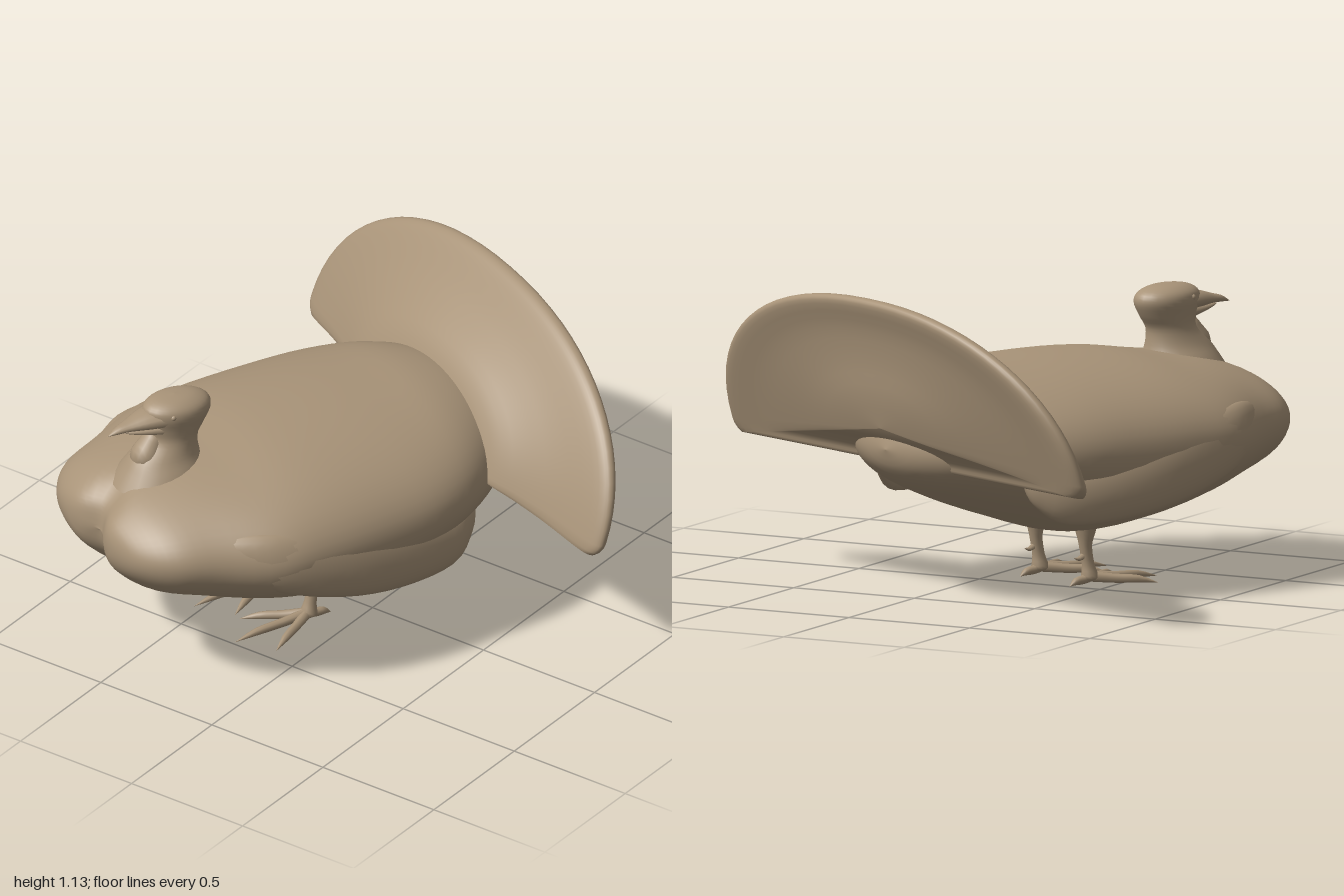
import * as THREE from 'three';

const material = new THREE.MeshStandardMaterial({ color: 0xa89378 });

// Skin over a list of closed rings, each running counter-clockwise about the direction of travel
function loft(rings) {
  const n = rings[0].length, index = [];
  for (let i = 0; i < rings.length - 1; i++) {
    for (let j = 0; j < n; j++) {
      const a = i * n + j, b = i * n + (j + 1) % n;
      index.push(a, b, a + n, b, b + n, a + n);
    }
  }
  const geometry = new THREE.BufferGeometry();
  geometry.setAttribute('position', new THREE.Float32BufferAttribute(rings.flat(2), 3));
  geometry.setIndex(index);
  geometry.computeVertexNormals();
  return geometry;
}

// Catmull-Rom smoothing of rows of section values
function smooth(rows, steps) {
  const out = [], last = rows.length - 1;
  for (let i = 0; i < last; i++) {
    const p = [rows[Math.max(i - 1, 0)], rows[i], rows[i + 1], rows[Math.min(i + 2, last)]];
    for (let s = 0; s < steps; s++) {
      const t = s / steps;
      out.push(rows[i].map((_, k) => {
        const [a, b, c, d] = p.map(r => r[k]);
        return b + 0.5 * t * (c - a + t * (2 * a - 5 * b + 4 * c - d + t * (3 * (b - c) + d - a)));
      }));
    }
  }
  out.push(rows[last]);
  return out;
}

const ring = (n, fn) => Array.from({ length: n }, (_, j) => fn((j / n) * Math.PI * 2));

function part(name, geometry, parent) {
  const mesh = new THREE.Mesh(geometry, material);
  mesh.name = name;
  parent.add(mesh);
  return mesh;
}

// Tapered limb through points [x, y, z, radius]
function limb(points, sides = 8) {
  const rows = smooth(points, 3);
  const at = i => new THREE.Vector3(...rows[Math.min(Math.max(i, 0), rows.length - 1)].slice(0, 3));
  return loft(rows.map((r, i) => {
    const dir = at(i + 1).sub(at(i - 1)).normalize();
    const u = new THREE.Vector3(1, 0, 0).cross(dir).normalize();
    const v = dir.clone().cross(u);
    const rad = Math.max(r[3], 0);
    return ring(sides, a => at(i).addScaledVector(u, rad * Math.cos(a)).addScaledVector(v, rad * Math.sin(a)).toArray());
  }));
}

// Body: z, half width, top, bottom, height of widest line
function bodyGeometry() {
  const rows = smooth([
    [-0.6, 0, 0.57, 0.57, 0.57], [-0.57, 0.17, 0.66, 0.49, 0.57], [-0.48, 0.34, 0.79, 0.42, 0.57],
    [-0.3, 0.49, 0.845, 0.34, 0.57], [-0.1, 0.57, 0.855, 0.27, 0.56], [0.15, 0.595, 0.86, 0.2, 0.55],
    [0.4, 0.6, 0.85, 0.22, 0.55], [0.6, 0.58, 0.82, 0.27, 0.55], [0.8, 0.48, 0.79, 0.32, 0.56],
    [0.95, 0.41, 0.745, 0.37, 0.57], [1.04, 0.31, 0.69, 0.44, 0.57], [1.08, 0.19, 0.64, 0.5, 0.57],
    [1.095, 0, 0.57, 0.57, 0.57]], 4);
  return loft(rows.map(([z, w, top, bottom, mid]) => ring(56, a => {
    const x = Math.max(w, 0) * Math.cos(a), s = Math.sin(a);
    const y = mid + s * (s > 0 ? top - mid : mid - bottom);
    // cleft between the two breast lobes
    const front = THREE.MathUtils.smoothstep(z, 0.85, 1.06);
    return [x, y, z - 0.055 * front * Math.exp(-((x / 0.07) ** 2))];
  })));
}

// Folded wing: z, centre x, centre y, half height, half thickness
function wingGeometry(side) {
  const rows = smooth([
    [-0.3, 0.43, 0.46, 0, 0], [-0.26, 0.45, 0.44, 0.06, 0.03], [-0.15, 0.495, 0.41, 0.1, 0.05],
    [0.1, 0.535, 0.445, 0.13, 0.065], [0.35, 0.545, 0.5, 0.14, 0.068], [0.6, 0.51, 0.56, 0.12, 0.068],
    [0.76, 0.43, 0.6, 0.07, 0.05], [0.86, 0.37, 0.62, 0, 0]], 4);
  return loft(rows.map(([z, cx, cy, h, t]) => {
    const section = ring(20, a => {
      const height = Math.max(h, 0) * Math.sin(a);
      return [side * (cx + Math.max(t, 0) * Math.cos(a) - 0.1 * height), cy + height, z];
    });
    return side > 0 ? section : section.reverse();
  }));
}

// Tail fan: scaled half-round outlines, flaring from a thick root to a thin rim
function fanGeometry() {
  const rows = smooth([
    [0, -0.1], [0.25, -0.085], [0.5, -0.055], [0.75, -0.035], [0.93, -0.035], [0.985, -0.022], [1, 0],
    [0.985, 0.022], [0.93, 0.042], [0.75, 0.085], [0.6, 0.13], [0.45, 0.18], [0.25, 0.2], [0, 0.2]], 3);
  return loft(rows.map(([s, dz]) => ring(72, a => {
    const c = Math.cos(a), n = Math.sin(a);
    const x = 1.02 * Math.sign(c) * Math.abs(c) ** 0.92;
    const rise = n > 0 ? 0.05 + 0.59 * n ** 0.95 : 0.05 - 0.05 * Math.min(1, -n * 4);
    const y = 0.65 + (rise - 0.15) * s;
    return [x * s, y, -0.47 - 0.35 * (y - 0.5) + dz];
  })));
}

// Neck and skull: y, half width, half depth, centre z
function headGeometry() {
  const rows = smooth([
    [0.72, 0.17, 0.19, 0.78], [0.78, 0.135, 0.155, 0.775], [0.83, 0.103, 0.13, 0.765], [0.89, 0.083, 0.1, 0.735],
    [0.94, 0.086, 0.117, 0.72], [0.99, 0.095, 0.135, 0.715], [1.025, 0.085, 0.125, 0.72],
    [1.048, 0.05, 0.075, 0.725], [1.055, 0, 0, 0.725]], 4);
  return loft(rows.map(([y, w, d, z]) => ring(24, a => [w * Math.sin(a), y, z + d * Math.cos(a)])));
}

// Beak half: z, half width, half height, centre y
function beakGeometry(rows) {
  return loft(smooth(rows, 3).map(([z, w, h, y]) =>
    ring(14, a => [Math.max(w, 0) * Math.cos(a), y + Math.max(h, 0) * Math.sin(a), z])));
}

function makeLeg(side) {
  const leg = new THREE.Group();
  leg.name = side > 0 ? 'leftLeg' : 'rightLeg';
  leg.position.set(side * 0.145, 0, 0.22);
  part('shank', limb([[0, 0.02, 0.02, 0], [0, 0.03, 0.02, 0.032], [0, 0.08, 0.012, 0.023],
    [0, 0.15, 0, 0.024], [0, 0.2, 0, 0.036], [0, 0.27, 0, 0.055]], 10), leg);
  part('spur', limb([[0, 0.12, 0, 0.014], [0, 0.105, -0.03, 0.009], [0, 0.11, -0.055, 0]], 6), leg);
  // three forward toes and one behind
  [[-0.55, 0.25], [0, 0.31], [0.55, 0.25], [Math.PI, 0.1]].forEach(([angle, length]) => {
    const toe = part('toe', limb([[0, 0.035, 0, 0.02], [0, 0.026, length * 0.35, 0.017],
      [0, 0.022, length * 0.7, 0.014], [0, 0.006, length, 0]], 8), leg);
    toe.position.z = 0.025;
    toe.rotation.y = angle;
  });
  return leg;
}

export function createModel() {
  const model = new THREE.Group();
  model.name = 'turkey';
  const bird = new THREE.Group();
  bird.name = 'bird';
  // the bird stands turned towards its right
  bird.rotation.y = -0.4;
  bird.position.set(-0.184, 0, -0.078);
  model.add(bird);

  part('body', bodyGeometry(), bird);
  part('tailFan', fanGeometry(), bird);
  part('neckAndHead', headGeometry(), bird);
  part('upperBeak', beakGeometry([[0.76, 0.085, 0.045, 0.985], [0.85, 0.06, 0.033, 0.984],
    [0.92, 0.034, 0.019, 0.978], [0.97, 0.018, 0.012, 0.971], [1.01, 0, 0, 0.958]]), bird);
  part('lowerBeak', beakGeometry([[0.76, 0.075, 0.035, 0.943], [0.85, 0.048, 0.02, 0.947],
    [0.91, 0.025, 0.01, 0.952], [0.95, 0, 0, 0.956]]), bird);

  // throat skin bulging under the beak
  part('wattle', limb([[0, 0.93, 0.79, 0], [0, 0.91, 0.8, 0.035], [0, 0.87, 0.82, 0.05],
    [0, 0.81, 0.85, 0.06], [0, 0.74, 0.88, 0]], 14), bird);

  for (const side of [1, -1]) {
    const label = side > 0 ? 'left' : 'right';
    part(label + 'Wing', wingGeometry(side), bird);
    part(label + 'Eye', new THREE.SphereGeometry(0.011, 12, 8), bird).position.set(side * 0.078, 1.005, 0.775);
    bird.add(makeLeg(side));
  }
  return model;
}
